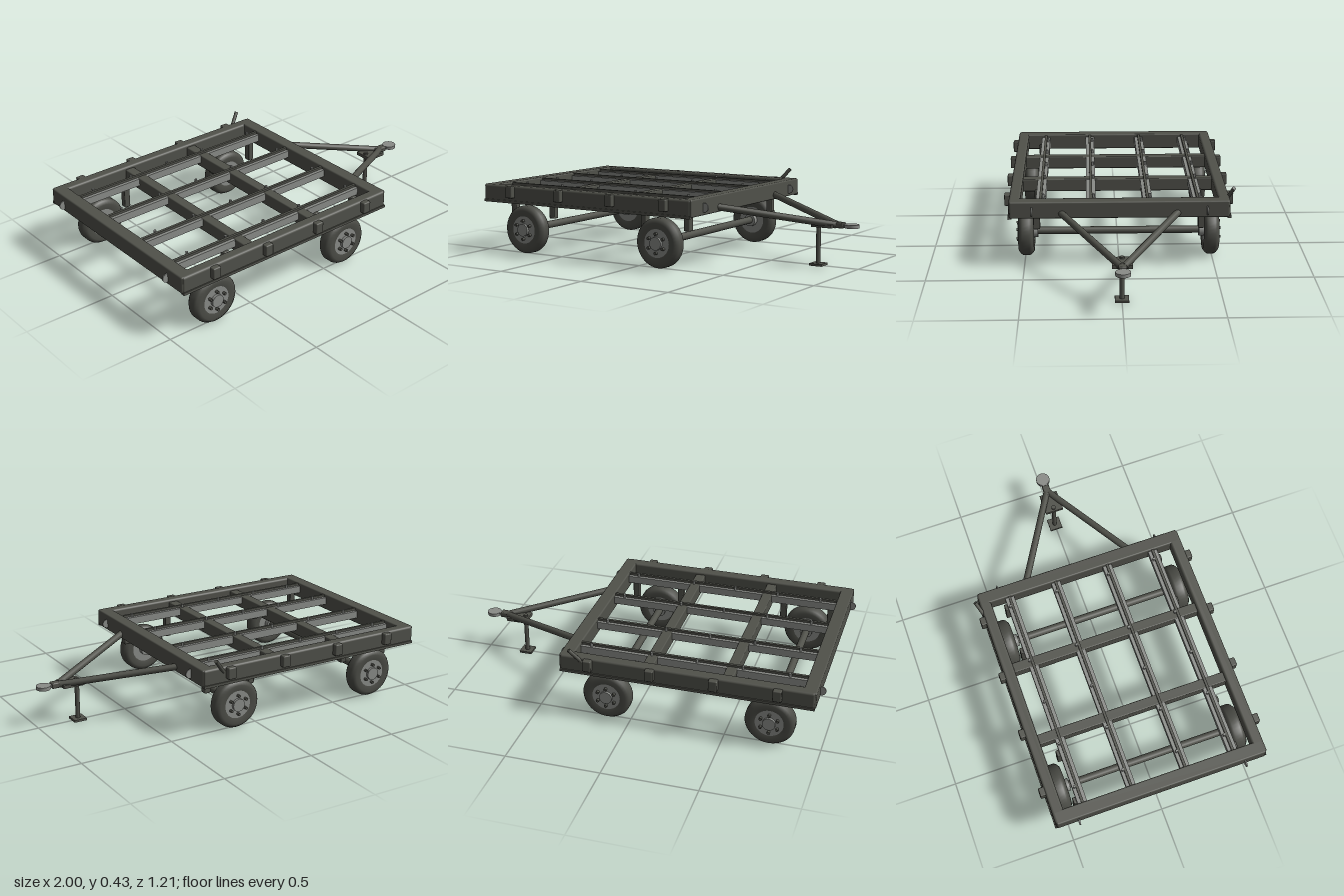
import * as THREE from 'three';
import { RoundedBoxGeometry } from 'three/addons/geometries/RoundedBoxGeometry.js';

const mat = (name, color) => {
  const m = new THREE.MeshStandardMaterial({ color });
  m.name = name;
  return m;
};

export function createModel() {
  const root = new THREE.Group();
  root.name = 'flatTrailer';
  const paint = mat('olive grey paint', 0x50514a);
  const rubber = mat('dark rubber', 0x4b4c46);
  const steel = mat('bare steel', 0x8a8c88);

  const add = (parent, name, geo, m, x = 0, y = 0, z = 0) => {
    const mesh = new THREE.Mesh(geo, m);
    mesh.name = name;
    mesh.position.set(x, y, z);
    parent.add(mesh);
    return mesh;
  };
  // Box given by its minimum and maximum corners, optionally with rounded edges
  const span = (name, m, a, b, r = 0) => {
    const s = a.map((v, i) => b[i] - v);
    const geo = r ? new RoundedBoxGeometry(...s, 2, r) : new THREE.BoxGeometry(...s);
    return add(root, name, geo, m, ...a.map((v, i) => (v + b[i]) / 2));
  };
  // Round bar between two points
  const bar = (name, m, a, b, r) => {
    const p = new THREE.Vector3(...a), q = new THREE.Vector3(...b);
    const d = q.clone().sub(p);
    const mesh = add(root, name, new THREE.CylinderGeometry(r, r, d.length(), 16), m);
    mesh.position.copy(p).lerp(q, 0.5);
    mesh.quaternion.setFromUnitVectors(new THREE.Vector3(0, 1, 0), d.normalize());
    return mesh;
  };
  // Disc whose axis runs along z
  const disc = (parent, name, m, r, depth, x, y, z, sides = 24) => {
    const geo = new THREE.CylinderGeometry(r, r, depth, sides).rotateX(Math.PI / 2);
    return add(parent, name, geo, m, x, y, z);
  };

  // Outer frame and cross members
  for (const [x0, x1] of [[-0.97, -0.9], [0.29, 0.36]])
    span('endRail', paint, [x0, 0.285, -0.57], [x1, 0.375, 0.57], 0.008);
  for (const [x0, x1] of [[-0.54, -0.485], [-0.125, -0.07]])
    span('crossMember', paint, [x0, 0.29, -0.52], [x1, 0.36, 0.52], 0.006);
  for (const s of [-1, 1]) {
    const z = s * 0.545;
    span('sideRail', paint, [-0.965, 0.285, z - 0.03], [0.355, 0.375, z + 0.03], 0.012);
    span('sideRailLip', paint, [-0.965, 0.28, s * 0.57 - 0.01], [0.355, 0.294, s * 0.57 + 0.01]);
    // Stake pockets on the outside of the rail
    for (const x of [-0.78, -0.455, -0.125, 0.203])
      span('stakePocket', paint, [x - 0.023, 0.31, s * 0.585 - 0.017],
        [x + 0.023, 0.372, s * 0.585 + 0.017], 0.006);
    // Lashing eyes at both ends
    for (const x of [-0.975, 0.365])
      disc(root, 'lashingEye', steel, 0.024, 0.007, x, 0.325, s * 0.455);
  }

  // Deck runners with a slim rail and small pins on top
  for (const z of [-0.41, -0.148, 0.147, 0.41]) {
    span('deckRunner', steel, [-0.915, 0.318, z - 0.025], [0.305, 0.358, z + 0.025]);
    span('runnerRail', paint, [-0.92, 0.355, z - 0.007], [0.31, 0.371, z + 0.007]);
    for (const x of [-0.81, -0.57, -0.33, -0.09, 0.235])
      add(root, 'runnerPin', new THREE.CylinderGeometry(0.007, 0.007, 0.02, 8), steel, x, 0.368, z - 0.013);
  }

  // Wheel, modelled with its outside towards +z
  const tyreProfile = [[0.07, -0.034], [0.105, -0.042], [0.122, -0.03], [0.13, -0.018],
    [0.13, 0.018], [0.122, 0.03], [0.105, 0.042], [0.07, 0.034]].map(p => new THREE.Vector2(...p));
  const makeWheel = () => {
    const g = new THREE.Group();
    g.name = 'wheel';
    add(g, 'tyre', new THREE.LatheGeometry(tyreProfile, 40).rotateX(Math.PI / 2), rubber);
    disc(g, 'rim', steel, 0.075, 0.07, 0, 0, 0, 32);
    disc(g, 'hub', steel, 0.034, 0.018, 0, 0, 0.04);
    disc(g, 'brakeDrum', steel, 0.034, 0.03, 0, 0, -0.047);
    for (let i = 0; i < 6; i++) {
      const a = i * Math.PI / 3 + Math.PI / 6;
      disc(g, 'wheelNut', paint, 0.008, 0.022, Math.cos(a) * 0.05, Math.sin(a) * 0.05, 0.041, 6);
    }
    return g;
  };

  // Axles with wheels and hanger brackets
  for (const x of [-0.735, 0.125]) {
    bar('axle', paint, [x, 0.135, -0.45], [x, 0.135, 0.45], 0.02);
    for (const s of [-1, 1]) {
      const w = makeWheel();
      w.position.set(x, 0.133, s * 0.493);
      if (s < 0) w.rotation.y = Math.PI;
      root.add(w);
      for (const dx of [-0.132, 0.132])
        span('hangerBracket', paint, [x + dx - 0.017, 0.195, s * 0.433 - 0.018],
          [x + dx + 0.017, 0.32, s * 0.433 + 0.018], 0.005);
    }
  }

  // Drawbar, tongue and towing eye
  for (const s of [-1, 1])
    bar('drawbarArm', paint, [0.345, 0.312, s * 0.305], [0.875, 0.222, s * 0.008], 0.018);
  span('tongue', paint, [0.85, 0.207, -0.02], [0.92, 0.237, 0.02], 0.006);
  span('eyeNeck', steel, [0.9, 0.213, -0.014], [0.945, 0.229, 0.014]);
  add(root, 'towingEye', new THREE.CylinderGeometry(0.038, 0.038, 0.018, 24), steel, 0.962, 0.221, 0);

  // Support leg
  bar('supportLeg', paint, [0.775, 0.01, 0], [0.775, 0.235, 0], 0.012);
  span('supportFoot', paint, [0.74, 0.003, -0.035], [0.81, 0.015, 0.035]);
  span('supportBracket', paint, [0.755, 0.208, -0.05], [0.87, 0.226, 0.05]);

  // Brake lever on the back rail
  bar('brakeLever', paint, [0.235, 0.345, -0.567], [0.297, 0.422, -0.596], 0.01);

  return root;
}
